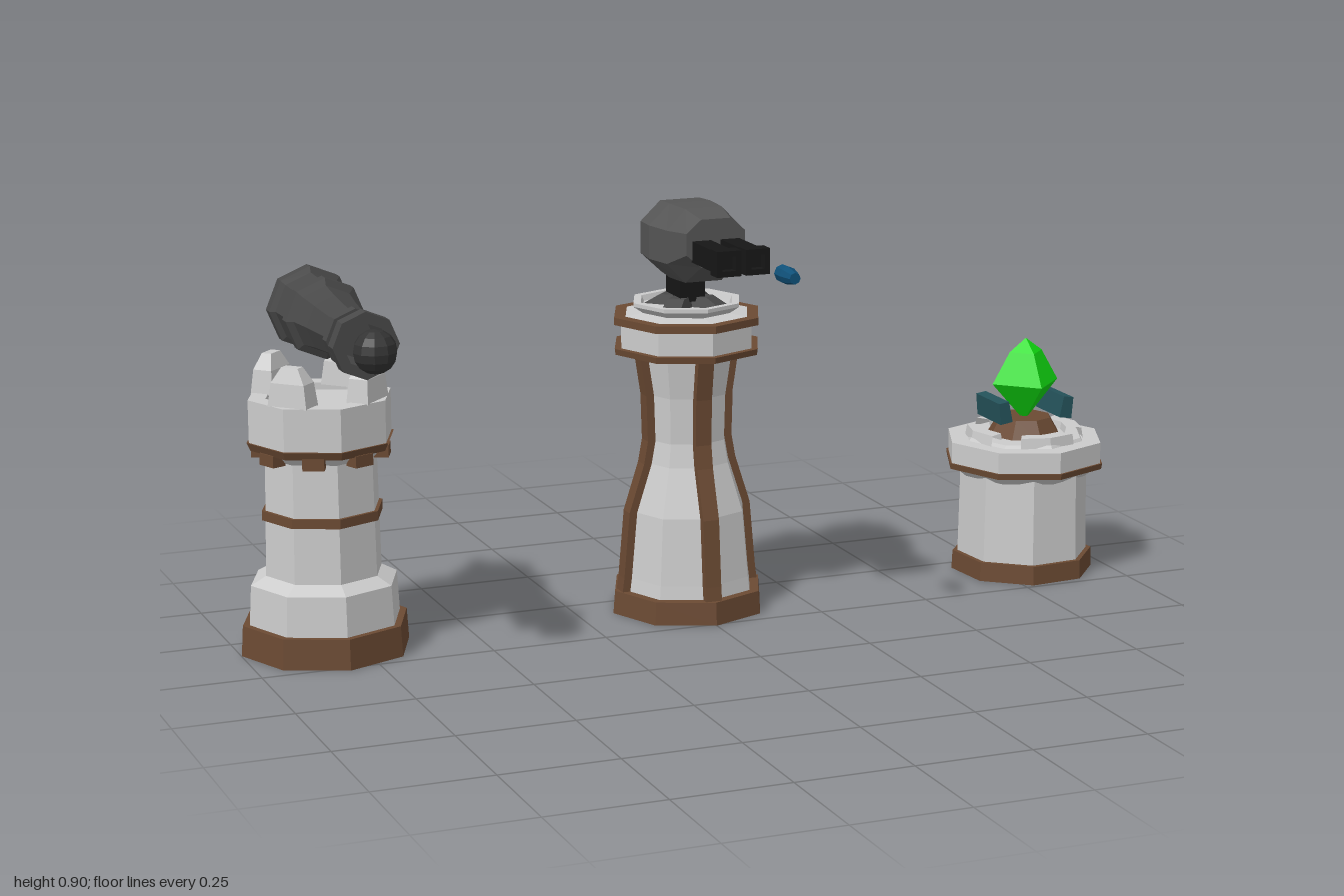
import * as THREE from 'three';

const mat = (color) => new THREE.MeshStandardMaterial({ color, flatShading: true, side: THREE.DoubleSide });
const stone = mat(0xcccccc), wood = mat(0x6b4a33), iron = mat(0x484848), gunmetal = mat(0x555555);
const black = mat(0x161616), teal = mat(0x24525a), blue = mat(0x0f5078), green = mat(0x10dd10), shot = mat(0x333333);

function add(parent, name, geometry, material, x = 0, y = 0, z = 0) {
  const mesh = new THREE.Mesh(geometry, material);
  mesh.name = name;
  mesh.position.set(x, y, z);
  parent.add(mesh);
  return mesh;
}

// Turned shape from [radius, height] pairs
const turned = (pts, sides = 8, start = 0, length = Math.PI * 2) =>
  new THREE.LatheGeometry(pts.map(([r, y]) => new THREE.Vector2(r, y)), sides, start, length);

// Solid polygonal slab
const slab = (r0, r1, y0, y1) => turned([[0, y0], [r0, y0], [r1, y1], [0, y1]]);

// Box whose top is scaled down
function taperedBox(w, h, d, sx, sz) {
  const g = new THREE.BoxGeometry(w, h, d), p = g.attributes.position;
  for (let i = 0; i < p.count; i++)
    if (p.getY(i) > 0) p.setXYZ(i, p.getX(i) * sx, p.getY(i), p.getZ(i) * sz);
  return g;
}

// Chamfered sections [z, halfWidth, yLow, yHigh], joined from back to front
function loft(sections) {
  const pos = [], idx = [];
  const ring = [[1, -0.45], [1, 0.45], [0.5, 1], [-0.5, 1], [-1, 0.45], [-1, -0.45], [-0.5, -1], [0.5, -1]];
  for (const [z, w, y0, y1] of sections)
    for (const [x, y] of ring) pos.push(x * w, (y0 + y1) / 2 + y * (y1 - y0) / 2, z);
  const last = (sections.length - 1) * 8;
  for (let s = 0; s < last; s += 8)
    for (let j = 0; j < 8; j++) {
      const a = s + j, b = s + (j + 1) % 8;
      idx.push(a, b, b + 8, a, b + 8, a + 8);
    }
  for (let j = 1; j < 7; j++) idx.push(0, j + 1, j, last, last + j, last + j + 1);
  const g = new THREE.BufferGeometry();
  g.setAttribute('position', new THREE.Float32BufferAttribute(pos, 3));
  g.setIndex(idx);
  g.computeVertexNormals();
  return g;
}

function tower(name, x) {
  const g = new THREE.Group();
  g.name = name;
  g.position.set(x, 0, -0.162);
  return g;
}

function cannonTower() {
  const g = tower('cannonTower', -0.817);
  add(g, 'base', slab(0.182, 0.178, 0, 0.065), wood);
  add(g, 'wall', turned([[0, 0.065], [0.163, 0.065], [0.158, 0.15], [0.125, 0.168], [0.12, 0.42],
    [0.148, 0.45], [0.153, 0.455], [0.153, 0.545], [0.115, 0.545], [0.115, 0.53], [0, 0.53]]), stone);
  add(g, 'band', slab(0.13, 0.13, 0.288, 0.308), wood);
  add(g, 'crownTrim', slab(0.15, 0.158, 0.438, 0.455), wood);
  // Brackets under the crown
  for (let i = 0; i < 8; i++) {
    const a = i * Math.PI / 4 + Math.PI / 8;
    add(g, 'bracket', new THREE.BoxGeometry(0.045, 0.025, 0.035), wood,
      Math.sin(a) * 0.125, 0.428, Math.cos(a) * 0.125).rotation.y = a;
  }
  // Pointed battlements
  for (let i = 0; i < 4; i++) {
    const a = i * Math.PI / 2 + Math.PI / 4;
    const m = new THREE.Group();
    m.name = 'battlement';
    m.rotation.y = a;
    add(m, 'block', taperedBox(0.09, 0.05, 0.05, 0.85, 0.85), stone, 0, 0.568, 0.112);
    add(m, 'tip', taperedBox(0.0765, 0.032, 0.0425, 0.5, 0.5), stone, 0, 0.609, 0.112);
    g.add(m);
  }
  // Cannon lies along z
  const cannon = add(g, 'cannon', turned([[0, -0.34], [0.015, -0.335], [0.021, -0.32], [0.015, -0.305],
    [0.01, -0.295], [0.045, -0.288], [0.078, -0.25], [0.089, -0.235], [0.089, -0.21], [0.077, -0.205],
    [0.075, -0.13], [0.085, -0.125], [0.085, -0.1], [0.07, -0.094], [0.061, -0.03], [0.05, 0.088],
    [0.062, 0.088], [0.062, 0.114], [0.052, 0.114], [0.052, 0.15], [0.069, 0.152], [0.069, 0.184],
    [0.046, 0.184], [0.04, 0.1], [0, 0.1]]), iron, 0, 0.716, 0.162);
  cannon.rotation.x = Math.PI / 2;
  add(g, 'cannonball', new THREE.SphereGeometry(0.045, 10, 8), shot, 0, 0.717, 0.405);
  return g;
}

function gunTower() {
  const g = tower('gunTower', 0);
  const waist = [[0.157, 0.05], [0.153, 0.08], [0.14, 0.225], [0.106, 0.33], [0.097, 0.38], [0.1, 0.48], [0.115, 0.577]];
  add(g, 'base', slab(0.172, 0.168, 0, 0.05), wood);
  add(g, 'wall', turned(waist.map(([r, y]) => [r - 0.01, y])), stone);
  // Timber posts follow the waisted wall
  const outline = [...waist, ...waist.map(([r, y]) => [r - 0.022, y]).reverse()];
  const post = new THREE.ExtrudeGeometry(new THREE.Shape(outline.map(([r, y]) => new THREE.Vector2(r, y))),
    { depth: 0.036, bevelEnabled: false }).translate(0, 0, -0.018);
  for (let i = 0; i < 4; i++) add(g, 'post', post, wood).rotation.y = i * Math.PI / 2;
  add(g, 'lowerTrim', slab(0.163, 0.165, 0.573, 0.586), wood);
  add(g, 'cornice', slab(0.15, 0.15, 0.586, 0.64), stone);
  add(g, 'upperTrim', slab(0.166, 0.166, 0.638, 0.654), wood);
  add(g, 'turntable', turned([[0, 0.65], [0.14, 0.654], [0.1, 0.659], [0.122, 0.674], [0.122, 0.682], [0.105, 0.682], [0.1, 0.67], [0, 0.67]]), stone);

  // Mount: crossed feet and neck
  for (let i = 0; i < 2; i++)
    add(g, 'mountFeet', taperedBox(0.18, 0.022, 0.045, 0.6, 0.8), iron, 0, 0.681, 0).rotation.y = Math.PI / 4 + i * Math.PI / 2;
  add(g, 'neck', new THREE.BoxGeometry(0.058, 0.085, 0.08), black, 0, 0.725, -0.005);

  // Gun housing
  add(g, 'housing', loft([[-0.24, 0.038, 0.78, 0.865], [-0.225, 0.06, 0.757, 0.884], [-0.2, 0.09, 0.74, 0.893],
    [-0.14, 0.094, 0.736, 0.896], [-0.065, 0.083, 0.738, 0.896], [0.004, 0.066, 0.782, 0.884]]), gunmetal, 0, 0, 0.162);
  // Twin barrels with hollow muzzles
  const square = (C, s) => new C([[-s, -s], [s, -s], [s, s], [-s, s]].map(([x, y]) => new THREE.Vector2(x, y)));
  const muzzleShape = square(THREE.Shape, 0.027);
  muzzleShape.holes.push(square(THREE.Path, 0.015));
  const muzzle = new THREE.ExtrudeGeometry(muzzleShape, { depth: 0.035, bevelEnabled: false });
  for (const x of [-0.032, 0.032]) {
    add(g, 'barrel', new THREE.BoxGeometry(0.042, 0.045, 0.15), black, x, 0.817, 0.222);
    add(g, 'muzzle', muzzle, black, x, 0.817, 0.282);
  }
  // Bullet in flight
  add(g, 'bullet', turned([[0, 0.28], [0.018, 0.28], [0.019, 0.31], [0.012, 0.346], [0, 0.346]]),
    blue, 0.032, 0.817, 0.162).rotation.x = Math.PI / 2;
  return g;
}

function crystalTower() {
  const g = tower('crystalTower', 0.817);
  const turn = -0.3;
  add(g, 'base', slab(0.16, 0.158, 0, 0.042), wood).rotation.y = turn;
  add(g, 'wall', slab(0.147, 0.143, 0.042, 0.24), stone).rotation.y = turn;
  add(g, 'flare', slab(0.143, 0.17, 0.225, 0.247), stone);
  add(g, 'trim', slab(0.182, 0.184, 0.245, 0.258), wood);
  add(g, 'platform', slab(0.179, 0.179, 0.258, 0.305), stone);
  add(g, 'step', slab(0.137, 0.132, 0.305, 0.312), stone);
  // Broken raised rim
  for (let i = 0; i < 4; i++)
    add(g, 'rimSegment', turned([[0.09, 0.305], [0.132, 0.305], [0.128, 0.328], [0.094, 0.328], [0.09, 0.305]],
      2, i * Math.PI / 2 - Math.PI / 6, Math.PI / 3), stone);
  add(g, 'pedestal', slab(0.088, 0.06, 0.305, 0.352), wood);
  // Clamps either side of the crystal
  for (const s of [-1, 1])
    add(g, 'clamp', taperedBox(0.03, 0.048, 0.116, 0.8, 1), teal, s * 0.077, 0.376, 0).rotation.z = -s * 0.15;
  add(g, 'crystal', turned([[0, 0.34], [0.081, 0.43], [0.04, 0.5], [0, 0.53]], 4), green);
  return g;
}

export function createModel() {
  const model = new THREE.Group();
  model.name = 'towerSet';
  model.add(cannonTower(), gunTower(), crystalTower());
  return model;
}
